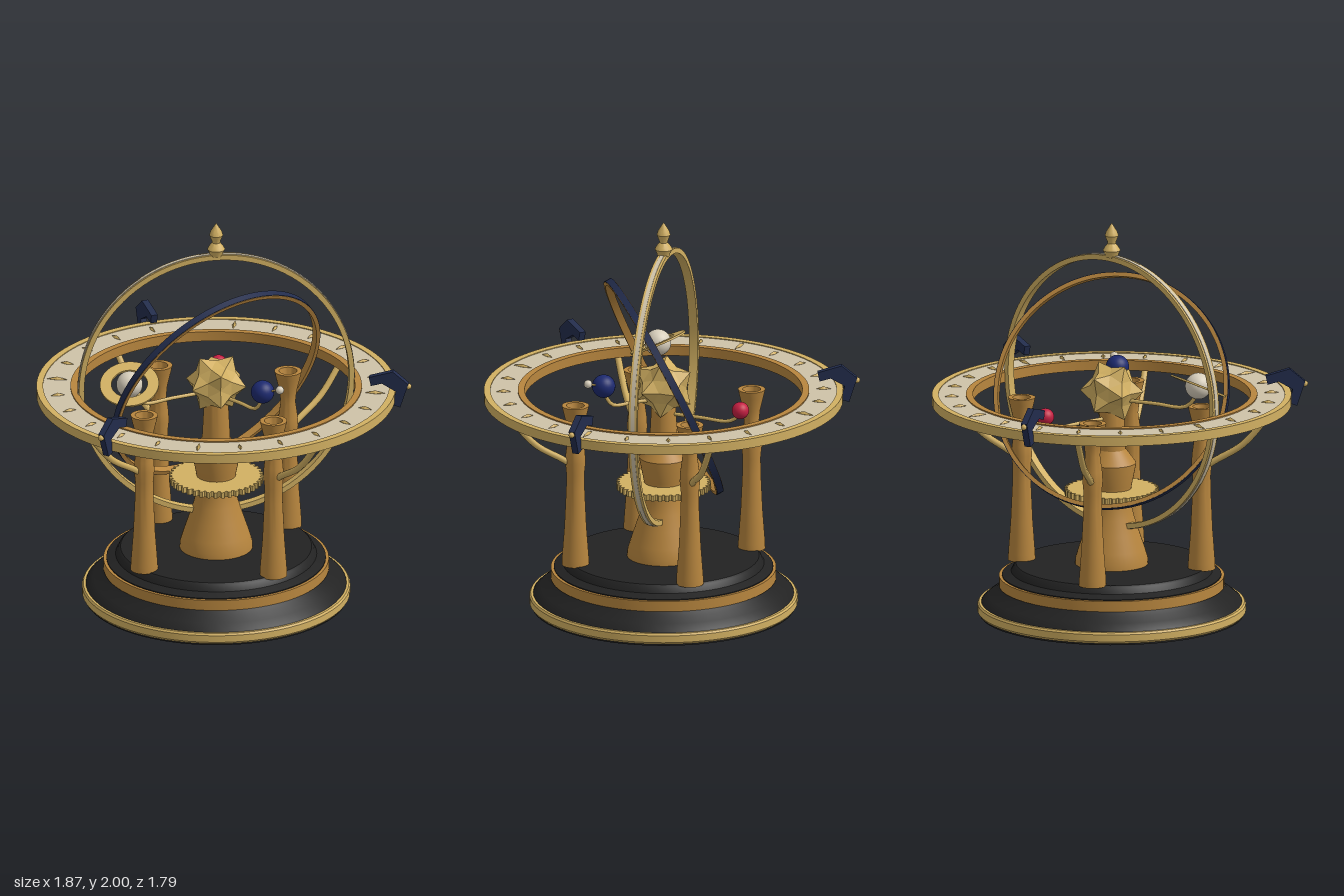
import * as THREE from 'three';
import { toCreasedNormals } from 'three/addons/utils/BufferGeometryUtils.js';

const mat = (name, color) => {
  const m = new THREE.MeshStandardMaterial({ color });
  m.name = name;
  return m;
};

export function createModel() {
  const gold = mat('gold', 0xd2b062), brass = mat('brass', 0xb8863e), black = mat('black', 0x222222);
  const ivory = mat('ivory', 0xcec2a8), navy = mat('navy', 0x222c4c), blue = mat('blue', 0x1d2a70);
  const red = mat('red', 0xc41f42), pale = mat('pale', 0xd8cfbc);

  const model = new THREE.Group();
  model.name = 'orrery';
  const body = new THREE.Group();
  body.name = 'body';
  body.position.x = -0.045;
  model.add(body);

  const add = (name, geo, material, parent = body) => {
    const m = new THREE.Mesh(geo, material);
    m.name = name;
    parent.add(m);
    return m;
  };
  // points are [radius, height], from bottom to top
  const lathe = (pts, seg = 64) =>
    toCreasedNormals(new THREE.LatheGeometry(pts.map(p => new THREE.Vector2(...p)), seg), 0.5);
  const band = (inner, outer, y0, y1, seg = 96) =>
    lathe([[outer, y0], [outer, y1], [inner, y1], [inner, y0], [outer, y0]], seg);
  const rod = (pts, r) => new THREE.TubeGeometry(
    new THREE.CatmullRomCurve3(pts.map(p => new THREE.Vector3(...p)), false, 'centripetal'), 16, r, 8);

  // Stepped base
  add('baseFoot', lathe([[0, 0], [0.655, 0], [0.655, 0.02]]), black);
  add('baseRim', lathe([[0.645, 0.01], [0.66, 0.01], [0.667, 0.02], [0.667, 0.055], [0.66, 0.065], [0.64, 0.065]]), gold);
  add('baseSlope', lathe([[0.65, 0.06], [0.645, 0.07], [0.61, 0.1], [0.575, 0.125], [0.55, 0.15], [0.5, 0.15]]), black);
  add('baseBand', band(0.5, 0.56, 0.147, 0.2), brass);
  add('baseTop', lathe([[0.545, 0.19], [0.545, 0.205], [0.5, 0.222], [0.485, 0.252], [0.475, 0.26], [0, 0.26]]), black);

  // Central column and gear
  add('column', lathe([[0.182, 0.255], [0.18, 0.29], [0.165, 0.34], [0.138, 0.42], [0.112, 0.5], [0.095, 0.57],
    [0.095, 0.63], [0.1, 0.66], [0.122, 0.77], [0.122, 0.775], [0.07, 0.845], [0.06, 1.05], [0, 1.05]], 40), brass);
  const gearShape = new THREE.Shape();
  const teeth = 40;
  for (let i = 0; i < teeth; i++) {
    [[0, 0.219], [0.3, 0.219], [0.45, 0.235], [0.85, 0.235]].forEach(([t, r], k) => {
      const a = (i + t) / teeth * Math.PI * 2;
      gearShape[i + k === 0 ? 'moveTo' : 'lineTo'](r * Math.cos(a), r * Math.sin(a));
    });
  }
  const gearGeo = new THREE.ExtrudeGeometry(gearShape, { depth: 0.03, bevelEnabled: false });
  gearGeo.rotateX(-Math.PI / 2);
  add('gear', gearGeo, gold).position.y = 0.614;

  // Pillars with struts reaching the horizon ring
  const pillarGeo = lathe([[0.068, 0.255], [0.067, 0.29], [0.055, 0.45], [0.046, 0.65], [0.045, 0.73], [0.051, 0.79],
    [0.048, 0.84], [0.037, 0.92], [0.043, 0.98], [0.06, 1.05], [0.068, 1.085], [0.045, 1.085], [0.035, 1.04], [0, 1.04]], 32);
  const strutGeo = rod([[0.33, 0.77, 0.33], [0.37, 0.81, 0.37], [0.47, 0.9, 0.47], [0.58, 1.085, 0.58]], 0.017);
  for (let i = 0; i < 4; i++) {
    const corner = new THREE.Group();
    corner.name = 'pillarWithStrut';
    corner.rotation.y = i * Math.PI / 2;
    body.add(corner);
    add('pillar', pillarGeo, brass, corner).position.set(0.323, 0, 0.323);
    add('strut', strutGeo, gold, corner);
  }

  // Horizon ring
  add('horizonPlate', band(0.72, 0.865, 1.08, 1.12), ivory);
  add('horizonRim', band(0.86, 0.893, 1.076, 1.124), gold);
  add('horizonInnerBand', band(0.69, 0.724, 1.076, 1.126), brass);
  for (let i = 0; i < 24; i++) {
    const a = i * Math.PI / 12;
    const mark = add('hourMark', new THREE.OctahedronGeometry(1), gold);
    mark.scale.set(i % 6 ? 0.036 : 0.052, 0.014, 0.01);
    mark.position.set(0.795 * Math.cos(a), 1.121, -0.795 * Math.sin(a));
    mark.rotation.y = a;
  }

  // Hooked clamps on the horizon ring
  const hook = new THREE.Shape([[0.765, 1.21], [0.775, 1.165], [0.83, 1.18], [0.9, 1.14], [0.88, 1.07],
    [0.922, 1.056], [0.962, 1.18], [0.885, 1.245]].map(p => new THREE.Vector2(...p)));
  const hookGeo = new THREE.ExtrudeGeometry(hook, { depth: 0.034, bevelEnabled: false });
  hookGeo.translate(0, 0, -0.017);
  for (let i = 0; i < 3; i++) {
    const clamp = new THREE.Group();
    clamp.name = 'clamp';
    clamp.rotation.y = i * Math.PI * 2 / 3;
    body.add(clamp);
    add('clampHook', hookGeo, navy, clamp);
    add('clampStud', new THREE.SphereGeometry(0.015, 12, 8), gold, clamp).position.set(0.962, 1.165, 0);
  }

  // Tilted armillary rings with an inlaid outer face
  const armillary = (name, inner, outer, half, normal, material, inlay, inlayHalf) => {
    const g = new THREE.Group();
    g.name = name;
    g.position.y = 1.14;
    g.quaternion.setFromUnitVectors(new THREE.Vector3(0, 1, 0), new THREE.Vector3(...normal).normalize());
    body.add(g);
    add(name + 'Band', band(inner, outer, -half, half), material, g);
    add(name + 'Inlay', band(outer - 0.004, outer + 0.003, -inlayHalf, inlayHalf), inlay, g);
  };
  armillary('meridianRing', 0.667, 0.693, 0.022, [0.267, 0, 0.964], gold, ivory, 0.01);
  armillary('eclipticRing', 0.577, 0.597, 0.019, [0.61, -0.418, 0.674], brass, navy, 0.017);

  // Finial
  add('finial', lathe([[0.03, 1.825], [0.034, 1.84], [0.044, 1.86], [0.036, 1.875], [0.02, 1.895], [0.022, 1.905],
    [0.034, 1.935], [0.028, 1.955], [0, 2]], 20), gold);

  // Faceted sun with twelve raised points
  const sunGeo = new THREE.IcosahedronGeometry(1, 1);
  const p = sunGeo.attributes.position;
  const v = new THREE.Vector3();
  for (let i = 0; i < p.count; i++) {
    v.fromBufferAttribute(p, i);
    const c = [v.x, v.y, v.z].map(Math.abs);
    const tip = Math.min(...c) < 0.01 && Math.max(...c) < 0.9;
    v.setLength(tip ? 0.16 : 0.118);
    p.setXYZ(i, v.x, v.y, v.z);
  }
  sunGeo.computeVertexNormals();
  const sun = add('sun', sunGeo, gold);
  sun.position.y = 1.14;
  sun.rotation.y = 0.3;

  // Planets on cranked arms
  const planet = (name, x, y, z, r, material, armY) => {
    add(name, new THREE.SphereGeometry(r, 28, 18), material).position.set(x, y, z);
    add(name + 'Arm', rod([[0, armY, 0], [x * 0.5, armY, z * 0.5], [x * 0.84, armY, z * 0.84],
      [x * 0.95, armY + (y - armY) * 0.4, z * 0.95], [x, y, z]], 0.01), gold);
  };
  planet('redPlanet', -0.035, 1.07, -0.415, 0.043, red, 1.005);
  planet('bluePlanet', 0.255, 1.185, 0.2, 0.058, blue, 1.08);
  planet('ringedPlanet', -0.405, 1.215, 0.25, 0.066, pale, 1.1);
  add('moon', new THREE.SphereGeometry(0.021, 16, 12), pale).position.set(0.345, 1.215, 0.24);
  add('moonArm', rod([[0.255, 1.185, 0.2], [0.3, 1.2, 0.22], [0.345, 1.215, 0.24]], 0.005), gold);
  const halo = add('planetRing', band(0.09, 0.147, -0.005, 0.005, 48), gold);
  halo.position.set(-0.405, 1.215, 0.25);
  halo.rotation.x = 0.45;

  return model;
}
